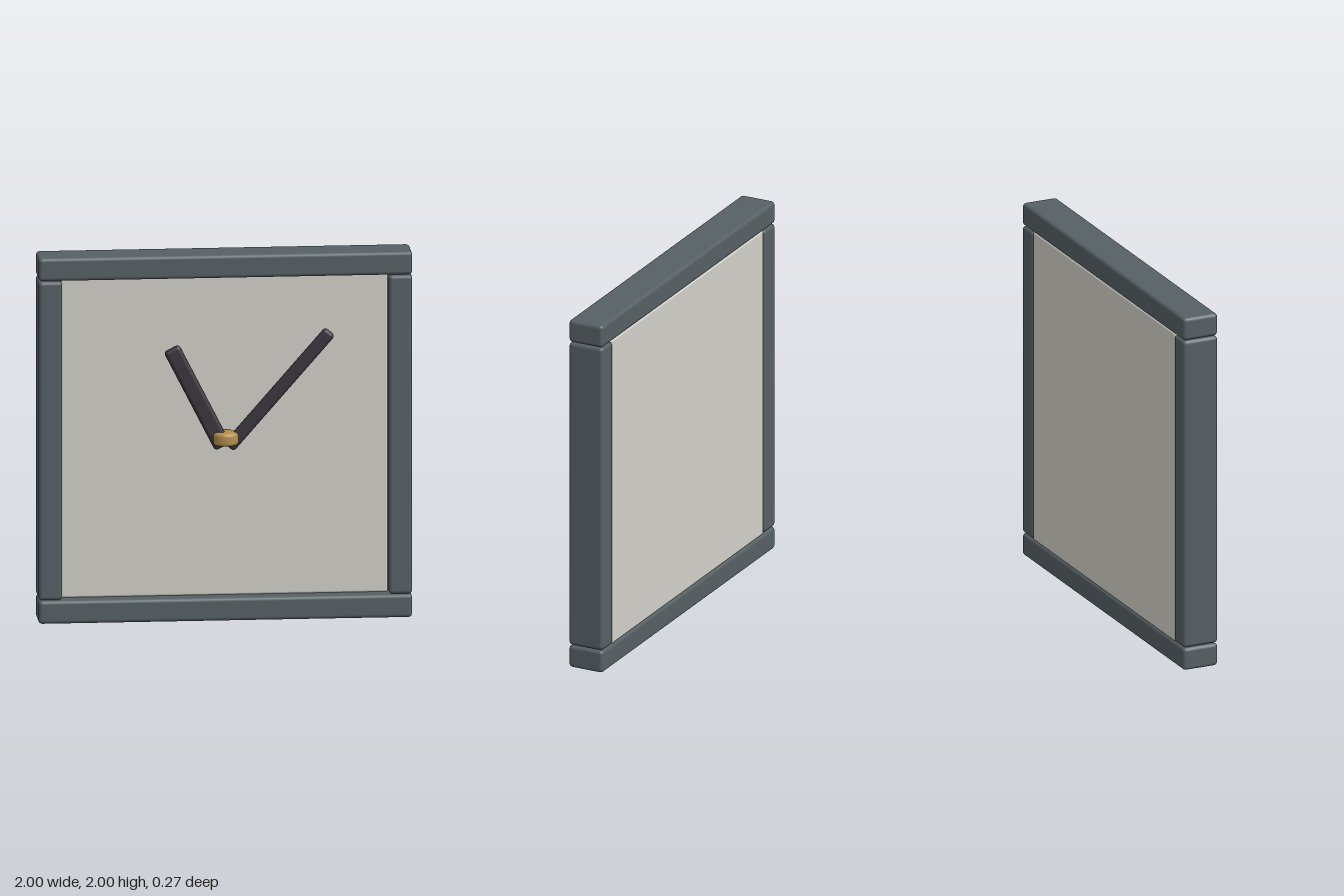
import * as THREE from 'three';
import { RoundedBoxGeometry } from 'three/addons/geometries/RoundedBoxGeometry.js';

const mat = (name, color) => {
  const m = new THREE.MeshStandardMaterial({ color });
  m.name = name;
  return m;
};

export function createModel() {
  const clock = new THREE.Group();
  clock.name = 'wallClock';
  const slate = mat('slate frame', 0x566064);
  const cream = mat('warm grey dial', 0xd2d0c9);
  const charcoal = mat('charcoal hands', 0x38343c);
  const brass = mat('brass hub', 0xb58f4c);

  const block = (name, material, [w, h, d], [x, y, z], radius) => {
    const mesh = new THREE.Mesh(new RoundedBoxGeometry(w, h, d, 3, radius), material);
    mesh.name = name;
    mesh.position.set(x, y, z);
    clock.add(mesh);
    return mesh;
  };

  // Frame: full-width rails above and below, stiles between them
  const frameZ = -0.033, depth = 0.204;
  block('topRail', slate, [2, 0.126, depth], [0, 1.937, frameZ], 0.02);
  block('bottomRail', slate, [2, 0.126, depth], [0, 0.063, frameZ], 0.02);
  for (const [name, side] of [['leftStile', 1], ['rightStile', -1]])
    block(name, slate, [0.126, 1.742, depth], [side * 0.937, 1, frameZ], 0.02);

  // Dial panel, recessed in front and almost flush behind
  block('dialPanel', cream, [1.75, 1.75, 0.12], [0, 1, -0.07], 0.012);

  // Hands, each laid between its tail and its tip
  const hand = (name, [x0, y0], [x1, y1], width, z) => {
    const dx = x1 - x0, dy = y1 - y0;
    const mesh = block(name, charcoal, [width, Math.hypot(dx, dy), 0.05],
      [(x0 + x1) / 2, (y0 + y1) / 2, z], 0.02);
    mesh.rotation.z = -Math.atan2(dx, dy);
  };
  hand('hourHand', [-0.015, 0.953], [-0.29, 1.495], 0.092, 0.06);
  hand('minuteHand', [0.017, 0.95], [0.56, 1.572], 0.07, 0.062);

  // Hub: short upright drum with rounded rims
  const r = 0.07, h = 0.035, b = 0.018;
  const profile = [new THREE.Vector2(0, -h)];
  for (const s of [-1, 1])
    for (let i = 0; i <= 4; i++) {
      const a = (s < 0 ? i - 4 : i) * Math.PI / 8;
      profile.push(new THREE.Vector2(r - b + b * Math.cos(a), s * (h - b) + b * Math.sin(a)));
    }
  profile.push(new THREE.Vector2(0, h));
  const hub = new THREE.Mesh(new THREE.LatheGeometry(profile, 32), brass);
  hub.name = 'hub';
  hub.position.set(0, 1, 0.065);
  clock.add(hub);

  return clock;
}
